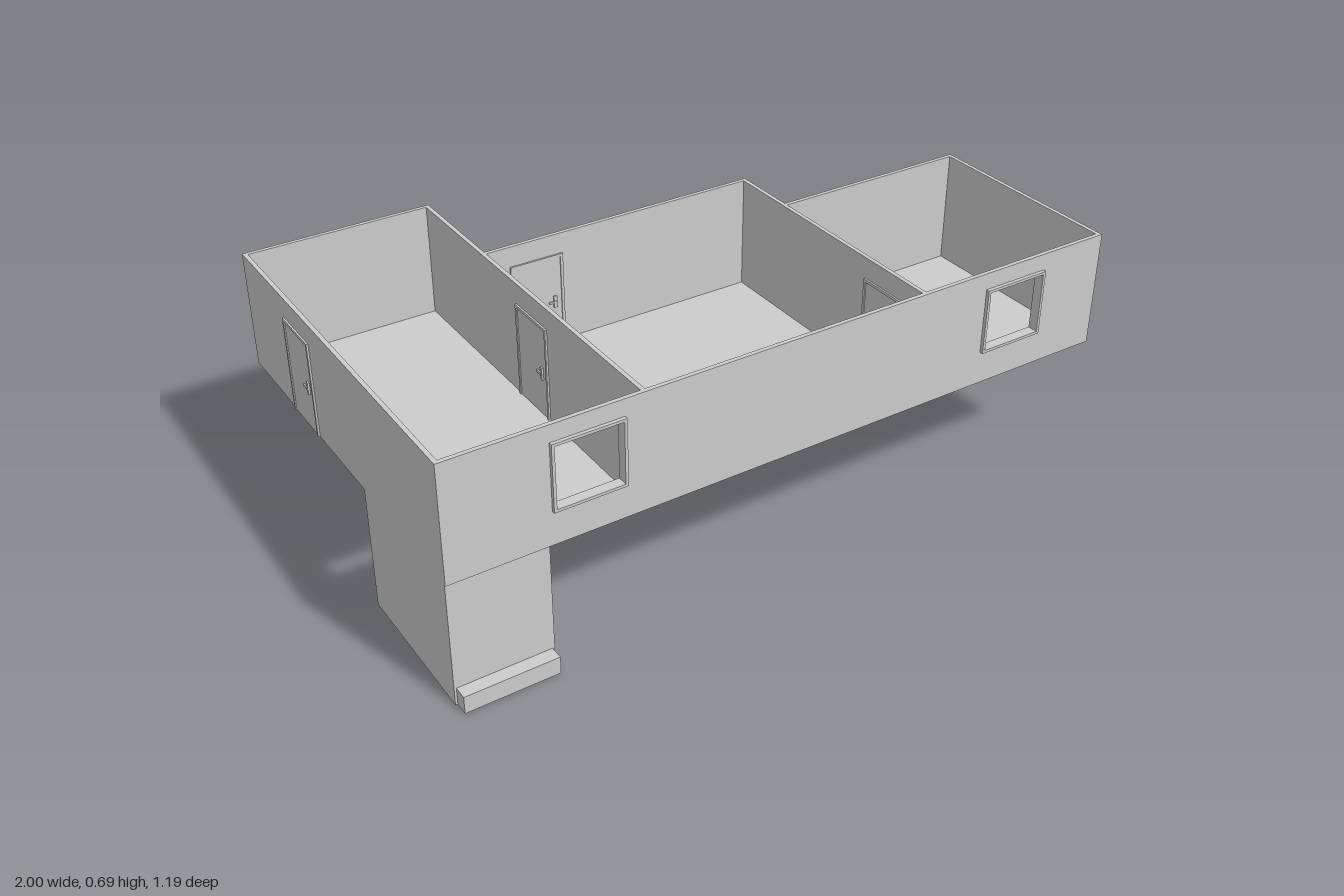
import * as THREE from 'three';

const mat = new THREE.MeshStandardMaterial({ color: 0xcccccc, flatShading: true });

// Main levels and wall lines
const FLOOR = 0.36, TOP = 0.695, T = 0.012;
const FRONT = 0.56, WEST = -0.99, EAST = 0.997;
const STAIR_IN = -0.725;

// Box given by its min and max corners
function block(parent, name, x0, x1, y0, y1, z0, z1) {
  const mesh = new THREE.Mesh(new THREE.BoxGeometry(x1 - x0, y1 - y0, z1 - z0), mat);
  mesh.position.set((x0 + x1) / 2, (y0 + y1) / 2, (z0 + z1) / 2);
  mesh.name = name;
  parent.add(mesh);
  return mesh;
}

function rectPath(path, x0, x1, y0, y1) {
  path.moveTo(x0, y0);
  path.lineTo(x1, y0);
  path.lineTo(x1, y1);
  path.lineTo(x0, y1);
  path.closePath();
  return path;
}

// Extruded rectangle with rectangular holes, [x0, x1, y0, y1] each
function plate(parent, name, outer, holes, depth) {
  const shape = rectPath(new THREE.Shape(), ...outer);
  for (const h of holes) shape.holes.push(rectPath(new THREE.Path(), ...h));
  const mesh = new THREE.Mesh(new THREE.ExtrudeGeometry(shape, { depth, bevelEnabled: false }), mat);
  mesh.name = name;
  parent.add(mesh);
  return mesh;
}

// Door along local x, handle at the +x end, on both faces
function makeDoor(name) {
  const door = new THREE.Group();
  door.name = name;
  const w = 0.08, h = 0.275, f = 0.008, d = 0.011;
  block(door, 'doorLeaf', -w + f, w - f, 0, h - f, -0.008, 0.008);
  block(door, 'doorJamb', -w, -w + f, 0, h, -d, d);
  block(door, 'doorJamb', w - f, w, 0, h, -d, d);
  block(door, 'doorHead', -w + f, w - f, h - f, h, -d, d);
  for (const s of [-1, 1]) {
    const zc = s * 0.0105;
    block(door, 'doorPlate', 0.046, 0.056, 0.115, 0.15, zc - 0.0025, zc + 0.0025);
    block(door, 'doorLever', 0.03, 0.054, 0.13, 0.136, s * 0.0135 - 0.002, s * 0.0135 + 0.002);
  }
  return door;
}

export function createModel() {
  const model = new THREE.Group();
  model.name = 'house';

  // Floors, the first with an opening above the stairs
  const floors = new THREE.Group();
  floors.name = 'floors';
  model.add(floors);
  const F = FLOOR + 0.004;
  block(floors, 'leftRoomFloorBack', WEST, -0.45, FLOOR, F, -0.594, 0.185);
  block(floors, 'leftRoomFloorFront', STAIR_IN, -0.45, FLOOR, F, 0.185, FRONT);
  block(floors, 'middleRoomFloor', -0.45, 0.39, FLOOR, F, -0.25, FRONT);
  block(floors, 'rightRoomFloor', 0.39, EAST, FLOOR, F, -0.055, FRONT);

  // Walls
  const walls = new THREE.Group();
  walls.name = 'walls';
  model.add(walls);
  const wall = (name, x0, x1, z0, z1) => block(walls, name, x0, x1, FLOOR, TOP, z0, z1);
  wall('leftOuterWall', WEST, WEST + T, -0.594, FRONT - T);
  wall('leftRoomBackWall', WEST + T, -0.461, -0.594, -0.594 + T);
  wall('leftPartition', -0.461, -0.449, -0.594, FRONT - T);
  wall('middleBackWall', -0.449, 0.379, -0.255, -0.255 + T);
  wall('rightPartition', 0.379, 0.391, -0.255, FRONT - T);
  wall('rightRoomBackWall', 0.391, EAST - T, -0.06, -0.06 + T);
  wall('rightOuterWall', EAST - T, EAST, -0.06, FRONT - T);

  // Front wall with two open windows
  const windows = [[-0.71, -0.51, 0.457, 0.647], [0.59, 0.79, 0.457, 0.647]];
  plate(walls, 'frontWall', [WEST, EAST, FLOOR, TOP], windows, T).position.z = FRONT - T;
  for (const [x0, x1, y0, y1] of windows) {
    const b = 0.008;
    plate(model, 'windowFrame', [x0, x1, y0, y1],
      [[x0 + b, x1 - b, y0 + b, y1 - b]], 0.03).position.z = 0.54;
  }

  // Doors: [name, x, z, rotation]
  const side = -Math.PI / 2;
  for (const [name, x, z, turn] of [
    ['entranceDoor', -0.984, -0.24, side],
    ['leftPartitionDoor', -0.455, 0.02, side],
    ['rightPartitionDoor', 0.385, 0.4, side],
    ['backDoor', -0.302, -0.249, 0],
  ]) {
    const door = makeDoor(name);
    door.position.set(x, FLOOR, z);
    door.rotation.y = turn;
    model.add(door);
  }

  // Stairwell panels, open at the back and bottom
  const stairs = new THREE.Group();
  stairs.name = 'stairs';
  model.add(stairs);
  block(stairs, 'stairOuterPanel', WEST, WEST + 0.006, 0, FLOOR, 0.115, 0.556);
  block(stairs, 'stairInnerPanel', STAIR_IN, STAIR_IN + 0.006, 0, FLOOR, 0.115, 0.556);
  block(stairs, 'stairFrontPanel', WEST, STAIR_IN + 0.006, 0, FLOOR, 0.55, 0.556);

  // Steps rising towards the back
  const run = 0.0682, rise = 0.0505;
  for (let i = 0; i < 6; i++) {
    const z = 0.594 - i * run;
    block(stairs, 'step', WEST + 0.006, STAIR_IN, i * rise, (i + 1) * rise, z - run, z);
  }
  return model;
}
